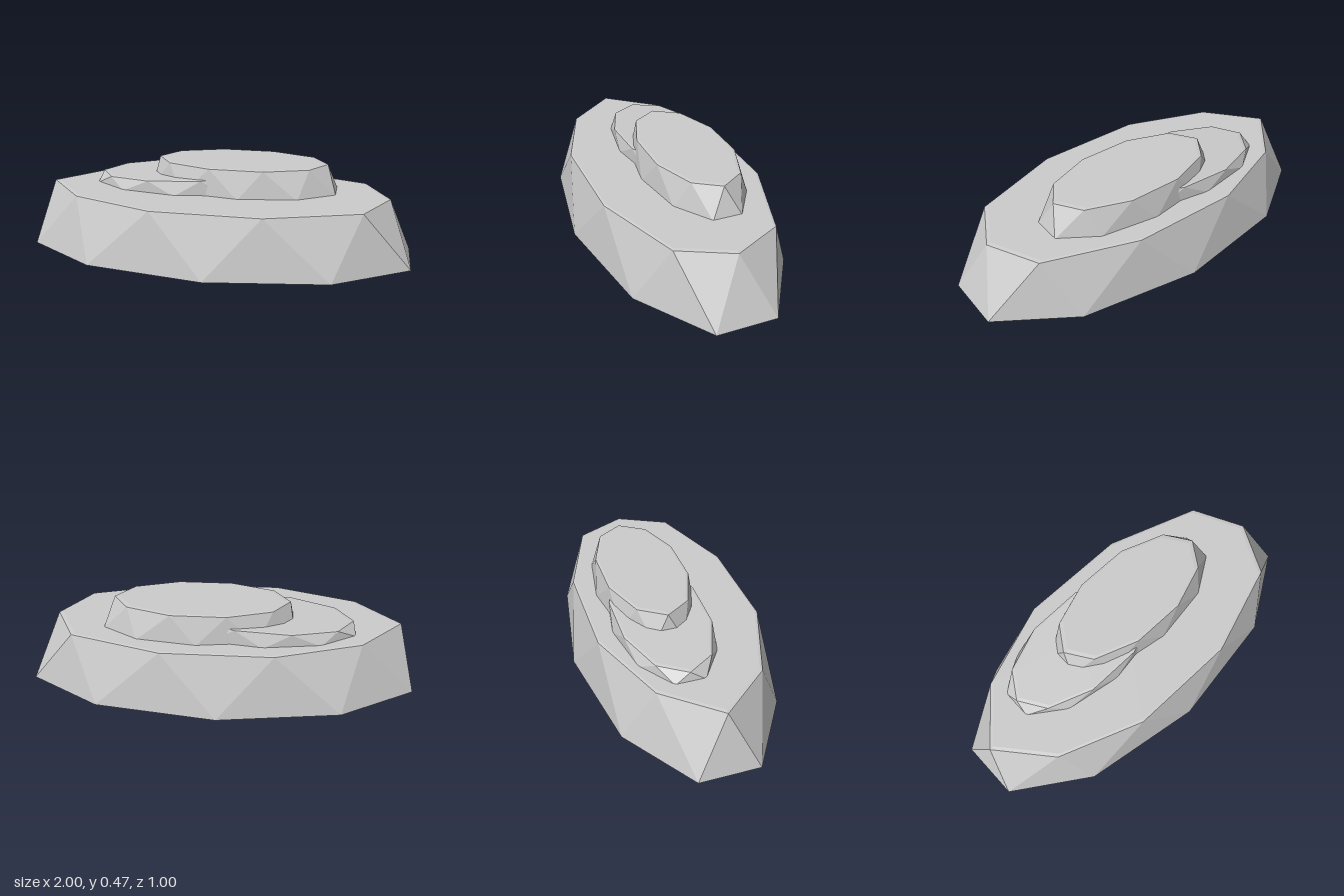
import * as THREE from 'three';

const SIDES = 10;
const material = new THREE.MeshStandardMaterial({ color: 0xcccccc, flatShading: true });

// Elliptical ten-sided loop; turn is measured in sides, slope tilts it along x
function ring(cx, cz, rx, rz, y, turn = 0, slope = 0) {
  return Array.from({ length: SIDES }, (_, i) => {
    const a = ((i + turn) / SIDES) * Math.PI * 2;
    const x = cx + rx * Math.cos(a);
    return new THREE.Vector3(x, y + slope * (x - cx), cz + rz * Math.sin(a));
  });
}

const centreOf = (loop) =>
  loop.reduce((sum, p) => sum.add(p), new THREE.Vector3()).divideScalar(loop.length);

// Faceted slab: zigzag triangular walls, a narrow rim and a slightly raised top
function makeTier(name, bottom, top, inset, lift) {
  const centre = centreOf(top);
  const inner = top.map((p) => {
    const q = p.clone().lerp(centre, inset);
    q.y += lift;
    return q;
  });
  const topCentre = centreOf(inner);
  const bottomCentre = centreOf(bottom);
  const points = [];
  for (let i = 0; i < SIDES; i++) {
    const j = (i + 1) % SIDES;
    points.push(
      bottom[i], top[i], top[j],
      bottom[i], top[j], bottom[j],
      top[i], inner[i], top[j],
      inner[i], inner[j], top[j],
      topCentre, inner[j], inner[i],
      bottomCentre, bottom[i], bottom[j]
    );
  }
  const geometry = new THREE.BufferGeometry().setFromPoints(points);
  geometry.computeVertexNormals();
  const mesh = new THREE.Mesh(geometry, material);
  mesh.name = name;
  return mesh;
}

export function createModel() {
  const group = new THREE.Group();
  group.name = 'steppedRock';

  // Wide base with a slightly uneven upper edge
  const baseTop = ring(0, 0, 0.905, 0.44, 0.318);
  const edgeX = [0.88, 0.75, 0.28, -0.28, -0.71, -0.93];
  baseTop.forEach((p, i) => { p.x = edgeX[Math.min(i, SIDES - i)]; });
  group.add(makeTier('base', ring(0, 0, 1.051, 0.5, 0, 0.5), baseTop, 0.025, 0.003));

  // Low sloping ledge on one side
  group.add(makeTier('lowerLedge',
    ring(-0.22, -0.085, 0.489, 0.245, 0.315, 0.5),
    ring(-0.22, -0.085, 0.455, 0.235, 0.391, 0, 0.055), 0.045, 0.003));

  // Highest plateau
  group.add(makeTier('upperPlateau',
    ring(0.113, -0.085, 0.515, 0.246, 0.315, 0.5),
    ring(0.1, -0.085, 0.452, 0.222, 0.462), 0.055, 0.003));

  return group;
}
